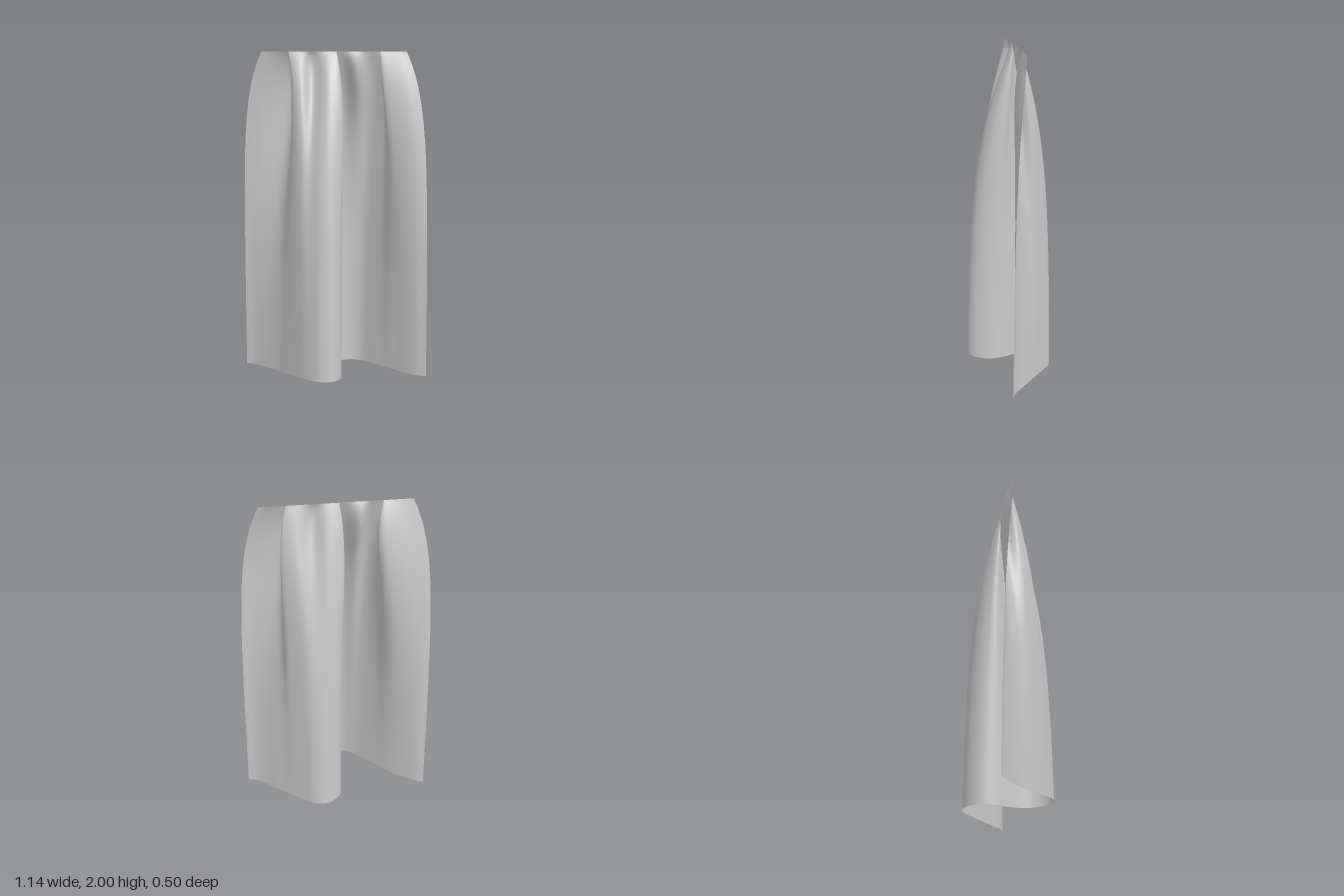
import * as THREE from 'three';

const HEIGHT = 2, HANG_Z = -0.035, FOLD_DEPTH = 0.35, PINCH_DEPTH = 0.15;

// Plan sections of the cloth, running from right edge to left edge
const topX = [-0.44, -0.39, -0.33, -0.285, -0.272, -0.28, -0.25, -0.2, -0.15, -0.09, -0.04, 0, 0.01,
  0, -0.02, 0, 0.05, 0.1, 0.17, 0.23, 0.277, 0.272, 0.285, 0.32, 0.38, 0.43];
const pleats = [[-0.535, -0.08], [-0.46, -0.085], [-0.36, -0.1], [-0.28, -0.1], [-0.242, -0.06],
  [-0.26, 0], [-0.235, 0.045], [-0.19, 0.07], [-0.14, 0.062], [-0.08, 0.085], [-0.02, 0.09],
  [0.035, 0.06], [0.048, 0.01], [0.003, -0.03], [-0.045, -0.075], [-0.01, -0.115], [0.06, -0.137],
  [0.13, -0.13], [0.2, -0.14], [0.265, -0.115], [0.32, -0.07], [0.298, -0.02], [0.315, 0.01],
  [0.375, 0.025], [0.455, 0.03], [0.525, 0.012]];
const hem = [[-0.57, -0.14], [-0.52, -0.12], [-0.46, -0.075], [-0.4, -0.025], [-0.35, 0.02],
  [-0.29, 0.08], [-0.24, 0.13], [-0.19, 0.18], [-0.14, 0.22], [-0.08, 0.25], [-0.015, 0.245],
  [0.03, 0.19], [0.045, 0.1], [0.012, 0], [-0.02, -0.09], [-0.012, -0.17], [0.035, -0.227],
  [0.1, -0.252], [0.17, -0.235], [0.235, -0.185], [0.29, -0.14], [0.345, -0.095], [0.4, -0.05],
  [0.455, 0], [0.51, 0.04], [0.57, 0.065]];

const section = (points) =>
  new THREE.CatmullRomCurve3(points.map(([x, z]) => new THREE.Vector3(x, 0, z)), false, 'catmullrom', 0.5);

// How far the cloth has opened toward the hem, and how strongly a pleat of given depth acts
const spread = (d) => (1 - Math.exp(-d / 0.55)) / (1 - Math.exp(-HEIGHT / 0.55));
const gather = (d, depth) => (d / depth) * Math.exp(1 - d / depth);

// Small tucks just below the top: one pressed back, one pressed forward
const bump = (u, centre) => Math.exp(-(((u - centre) / 0.035) ** 2));
const tuck = (u) => 0.045 * (bump(u, 0.69) - bump(u, 0.33));

function drapeGeometry(cols, rows) {
  const geometry = new THREE.PlaneGeometry(1, 1, cols, rows);
  const position = geometry.attributes.position;
  const top = section(topX.map((x) => [x, HANG_Z]));
  const middle = section(pleats);
  const bottom = section(hem);
  const p = new THREE.Vector3();

  for (let i = 0; i <= cols; i++) {
    const u = i / cols;
    const a = top.getPoint(u);
    const b = bottom.getPoint(u);
    const fold = middle.getPoint(u).sub(a.clone().lerp(b, spread(FOLD_DEPTH)));
    const hemY = 0.02 * Math.max(0, b.z / 0.25) + 0.012 * THREE.MathUtils.clamp(0.5 - b.x, 0, 1);
    for (let j = 0; j <= rows; j++) {
      const v = Math.pow(j / rows, 1.5); // finer rows near the gathered top
      const d = HEIGHT * v;
      p.copy(a).lerp(b, spread(d)).addScaledVector(fold, gather(d, FOLD_DEPTH));
      p.z += tuck(u) * gather(d, PINCH_DEPTH);
      position.setXYZ(j * (cols + 1) + i, p.x, HEIGHT - v * (HEIGHT - hemY), p.z);
    }
  }
  geometry.computeVertexNormals();
  return geometry;
}

export function createModel() {
  const model = new THREE.Group();
  model.name = 'hangingCloth';
  const drape = new THREE.Mesh(
    drapeGeometry(125, 60),
    new THREE.MeshStandardMaterial({ color: 0xcccccc, side: THREE.DoubleSide }),
  );
  drape.name = 'drape';
  model.add(drape);
  return model;
}
